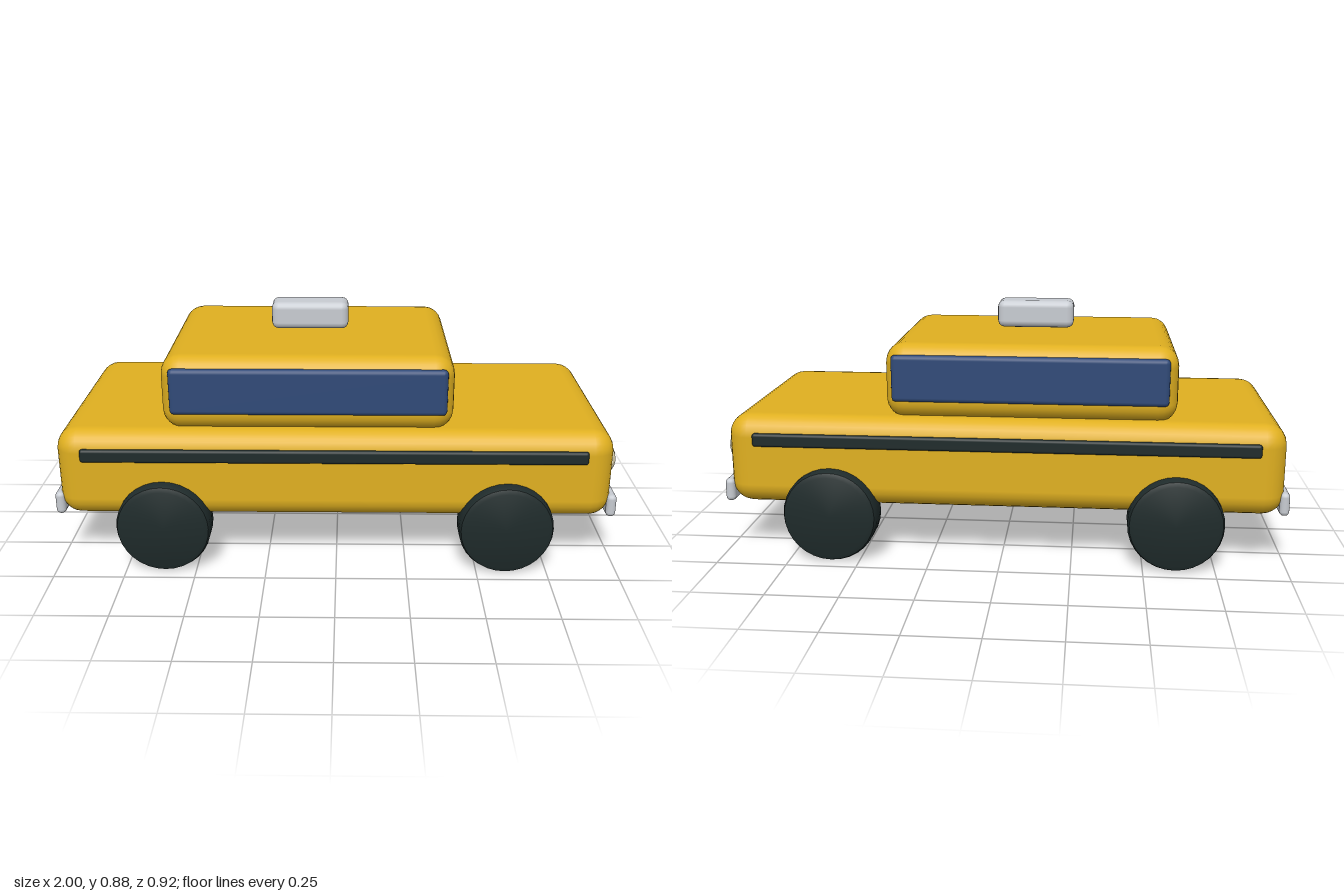
import * as THREE from 'three';
import { RoundedBoxGeometry } from 'three/addons/geometries/RoundedBoxGeometry.js';
import { toCreasedNormals } from 'three/addons/utils/BufferGeometryUtils.js';

function material(name, color) {
  const m = new THREE.MeshStandardMaterial({ color });
  m.name = name;
  return m;
}

export function createModel() {
  const car = new THREE.Group();
  car.name = 'taxi';

  const yellow = material('yellow paint', 0xe0b020);
  const blue = material('window blue', 0x304a78);
  const dark = material('dark rubber', 0x1f2b2b);
  const grey = material('light grey', 0xc8ccd2);
  const cream = material('lamp cream', 0xe0d6b4);

  function add(name, geometry, mat, x = 0, y = 0, z = 0) {
    const mesh = new THREE.Mesh(geometry, mat);
    mesh.name = name;
    mesh.position.set(x, y, z);
    car.add(mesh);
    return mesh;
  }

  // Rounded box given by its limits on each axis
  function block(name, [x0, x1], [y0, y1], [z0, z1], radius, mat, segments = 2) {
    const geometry = new RoundedBoxGeometry(x1 - x0, y1 - y0, z1 - z0, segments, radius);
    return add(name, geometry, mat, (x0 + x1) / 2, (y0 + y1) / 2, (z0 + z1) / 2);
  }

  // Main masses
  block('body', [-0.982, 0.97], [0.19, 0.514], [-0.418, 0.418], 0.075, yellow, 3);
  block('cabin', [-0.61, 0.41], [0.5, 0.768], [-0.37, 0.37], 0.07, yellow, 3);
  block('roofSign', [-0.24, 0.04], [0.78, 0.88], [-0.057, 0.057], 0.025, grey);

  // Bumpers at both ends
  block('frontBumper', [0.957, 0.992], [0.193, 0.276], [-0.395, 0.395], 0.016, grey);
  block('rearBumper', [-1, -0.965], [0.193, 0.276], [-0.395, 0.395], 0.016, grey);

  // Tyre profile with softened shoulders, turned about the axle
  const r = 0.167, w = 0.06, bevel = 0.022;
  const profile = [
    [0, -w], [r - bevel, -w], [r - bevel * 0.3, -w + bevel * 0.3], [r, -w + bevel],
    [r, w - bevel], [r - bevel * 0.3, w - bevel * 0.3], [r - bevel, w], [0, w],
  ].map(([x, y]) => new THREE.Vector2(x, y));
  const wheelGeometry = toCreasedNormals(
    new THREE.LatheGeometry(profile, 32).rotateX(Math.PI / 2), 0.6);

  const lampGeometry = new THREE.SphereGeometry(0.055, 12, 8).scale(0.65, 1, 1).toNonIndexed();
  lampGeometry.computeVertexNormals();

  // Details mirrored on both sides
  for (const s of [1, -1]) {
    const side = s > 0 ? 'right' : 'left';
    const span = (a, b) => (s > 0 ? [a, b] : [-b, -a]);
    block(side + 'Window', [-0.577, 0.383], [0.567, 0.733], span(0.345, 0.378), 0.016, blue);
    block(side + 'Stripe', [-0.89, 0.872], [0.408, 0.456], span(0.405, 0.428), 0.01, dark);
    add(side + 'Headlight', lampGeometry, cream, 0.963, 0.375, s * 0.28);
    add(side + 'FrontWheel', wheelGeometry, dark, 0.6, r, s * 0.4);
    add(side + 'RearWheel', wheelGeometry, dark, -0.61, r, s * 0.4);
  }

  return car;
}
